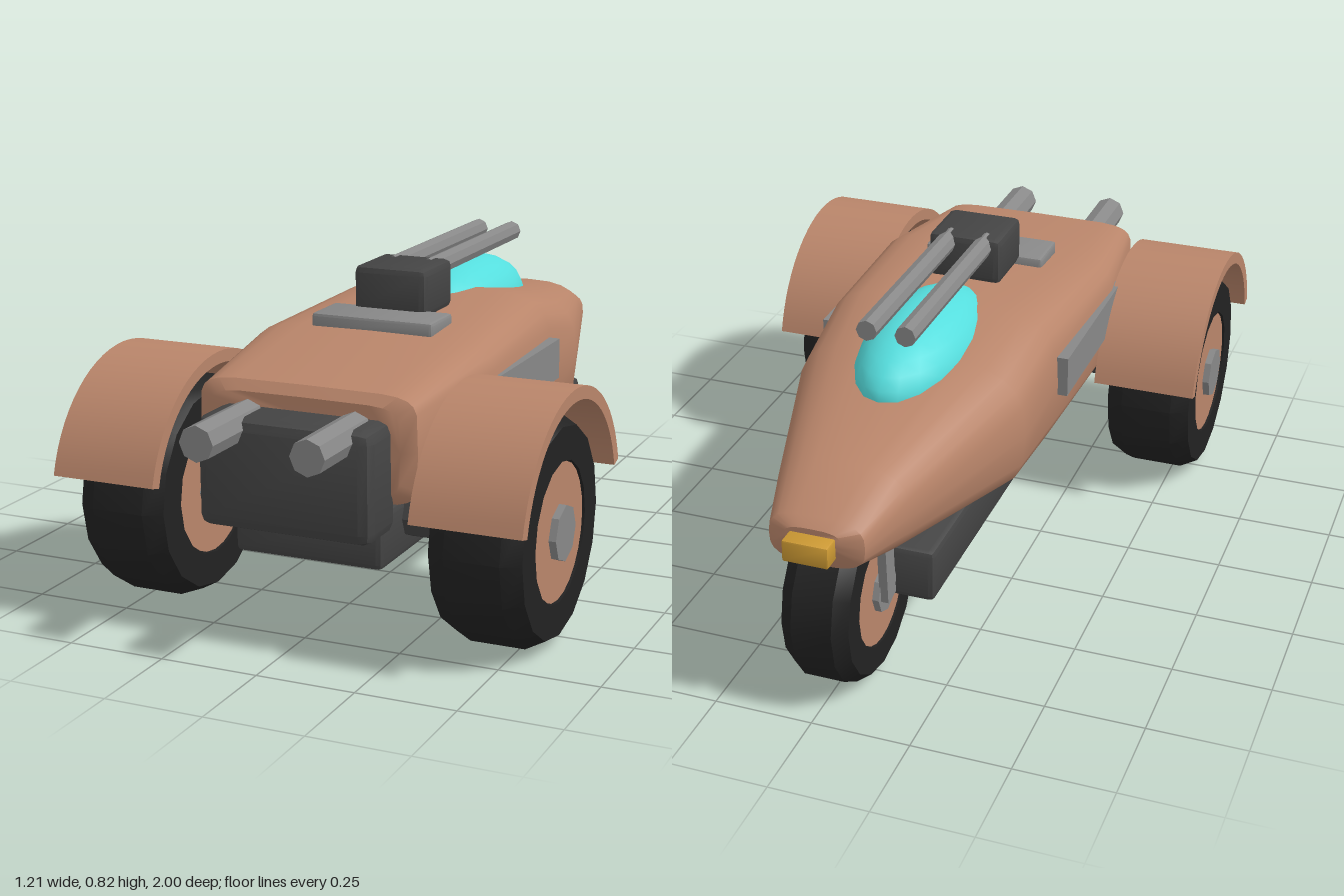
import * as THREE from 'three';
import { toCreasedNormals } from 'three/addons/utils/BufferGeometryUtils.js';
import { RoundedBoxGeometry } from 'three/addons/geometries/RoundedBoxGeometry.js';

const mat = (name, color) => {
  const m = new THREE.MeshStandardMaterial({ color });
  m.name = name;
  return m;
};

export function createModel() {
  const paint = mat('clay paint', 0xb9856a);
  const dark = mat('dark metal', 0x444444);
  const rubber = mat('tyre rubber', 0x222222);
  const steel = mat('grey steel', 0x888888);
  const glass = mat('cyan glass', 0x55dddd);
  const amber = mat('amber lamp', 0xcc9933);

  const model = new THREE.Group();
  model.name = 'threeWheeler';

  const add = (name, geo, material, x = 0, y = 0, z = 0, parent = model) => {
    const mesh = new THREE.Mesh(geo, material);
    mesh.name = name;
    mesh.position.set(x, y, z);
    parent.add(mesh);
    return mesh;
  };

  // Box with chamfered edges, given by its limits
  const box = (name, material, [x0, x1], [y0, y1], [z0, z1], bevel) => {
    const geo = new RoundedBoxGeometry(x1 - x0, y1 - y0, z1 - z0, 1, bevel);
    return add(name, toCreasedNormals(geo, 0.5), material, (x0 + x1) / 2, (y0 + y1) / 2, (z0 + z1) / 2);
  };

  // Cylinder lying along x or z
  const rod = (radius, length, sides, axis) => {
    const geo = new THREE.CylinderGeometry(radius, radius, length, sides);
    if (axis === 'x') geo.rotateZ(Math.PI / 2);
    else geo.rotateX(Math.PI / 2);
    return toCreasedNormals(geo, 0.6);
  };

  // Hull lofted through superellipse rings: z, half width, bottom, top, squareness
  const rings = [
    [-0.955, 0.07, 0.46, 0.515, 3],
    [-0.93, 0.12, 0.405, 0.535, 3],
    [-0.77, 0.17, 0.36, 0.595, 2.8],
    [-0.33, 0.305, 0.295, 0.67, 3.2],
    [-0.1, 0.315, 0.31, 0.71, 4],
    [0.35, 0.335, 0.348, 0.68, 5],
    [0.72, 0.285, 0.355, 0.625, 7],
    [0.74, 0.25, 0.38, 0.6, 7],
  ];
  const N = 24;
  const pos = [];
  const idx = [];
  const power = (v, n) => Math.sign(v) * Math.pow(Math.abs(v), 2 / n);
  rings.forEach(([z, w, lo, hi, n]) => {
    for (let j = 0; j < N; j++) {
      const a = (j / N) * Math.PI * 2;
      pos.push(w * power(Math.cos(a), n), (lo + hi) / 2 + ((hi - lo) / 2) * power(Math.sin(a), n), z);
    }
  });
  for (let i = 0; i < rings.length - 1; i++) {
    for (let j = 0; j < N; j++) {
      const a = i * N + j;
      const b = i * N + ((j + 1) % N);
      idx.push(a, b, a + N, b, b + N, a + N);
    }
  }
  const last = (rings.length - 1) * N;
  for (let j = 1; j < N - 1; j++) {
    idx.push(0, j + 1, j, last, last + j, last + j + 1);
  }
  const hull = new THREE.BufferGeometry();
  hull.setAttribute('position', new THREE.Float32BufferAttribute(pos, 3));
  hull.setIndex(idx);
  hull.computeVertexNormals();
  add('hull', toCreasedNormals(hull, 0.6), paint);

  // Canopy
  const canopy = new THREE.SphereGeometry(1, 20, 14);
  canopy.scale(0.145, 0.13, 0.31);
  add('canopy', canopy, glass, 0, 0.63, -0.235);

  // Chassis, engine and fittings
  box('chassis', dark, [-0.195, 0.195], [0.19, 0.33], [-0.69, 0.73], 0.015);
  box('engine', dark, [-0.225, 0.225], [0.29, 0.565], [0.7, 0.86], 0.03);
  box('roofHatch', steel, [-0.165, 0.165], [0.665, 0.71], [0.225, 0.36], 0.008);
  box('turret', dark, [-0.1, 0.1], [0.69, 0.817], [0.065, 0.25], 0.018);
  box('noseLamp', amber, [-0.057, 0.057], [0.445, 0.5], [-1, -0.95], 0.004);
  add('rearAxle', rod(0.06, 1.1, 8, 'x'), dark, 0, 0.285, 0.55);

  // Wheel: ring tyre, painted disc and steel hub
  const wheel = (name, x, y, z, R, half, discR, hubR) => {
    const group = new THREE.Group();
    group.name = name;
    group.position.set(x, y, z);
    model.add(group);
    const profile = [
      [discR + 0.004, -half], [R - 0.025, -half], [R, -half * 0.6], [R, half * 0.6],
      [R - 0.025, half], [discR + 0.004, half], [discR + 0.004, -half],
    ].map(([r, h]) => new THREE.Vector2(r, h));
    const tyre = new THREE.LatheGeometry(profile, 16);
    tyre.rotateZ(Math.PI / 2);
    add('tyre', toCreasedNormals(tyre, 0.5), rubber, 0, 0, 0, group);
    add('disc', rod(discR, half * 1.9, 24, 'x'), paint, 0, 0, 0, group);
    add('hub', rod(hubR, half * 2 + 0.025, 8, 'x'), steel, 0, 0, 0, group);
  };
  wheel('frontWheel', 0, 0.245, -0.745, 0.24, 0.085, 0.145, 0.058);

  // Fender arch
  const arch = new THREE.Shape();
  const a0 = 0.26;
  arch.absarc(0, 0, 0.35, a0, Math.PI - a0, false);
  arch.absarc(0, 0, 0.318, Math.PI - a0, a0, true);
  const fender = new THREE.ExtrudeGeometry(arch, { depth: 0.275, bevelEnabled: false, curveSegments: 14 });
  fender.translate(0, 0, -0.1375);
  fender.rotateY(Math.PI / 2);
  const fenderGeo = toCreasedNormals(fender, 0.5);

  // Parts repeated on both sides
  for (const [side, s] of [['left', 1], ['right', -1]]) {
    wheel(side + 'RearWheel', s * 0.4625, 0.285, 0.55, 0.283, 0.115, 0.17, 0.07);
    add(side + 'Fender', fenderGeo, paint, s * 0.4675, 0.285, 0.545);
    add(side + 'SidePanel', new THREE.BoxGeometry(0.05, 0.107, 0.5), steel, s * 0.316, 0.538, 0.16);
    add(side + 'Exhaust', rod(0.044, 0.25, 8, 'z'), steel, s * 0.14, 0.54, 0.875);
    add(side + 'GunBarrel', rod(0.027, 0.6, 8, 'z'), steel, s * 0.05, 0.793, -0.19);
    const fork = add(side + 'Fork', new THREE.BoxGeometry(0.022, 0.16, 0.05), steel, s * 0.105, 0.315, -0.768);
    fork.rotation.x = -0.08;
  }

  return model;
}
